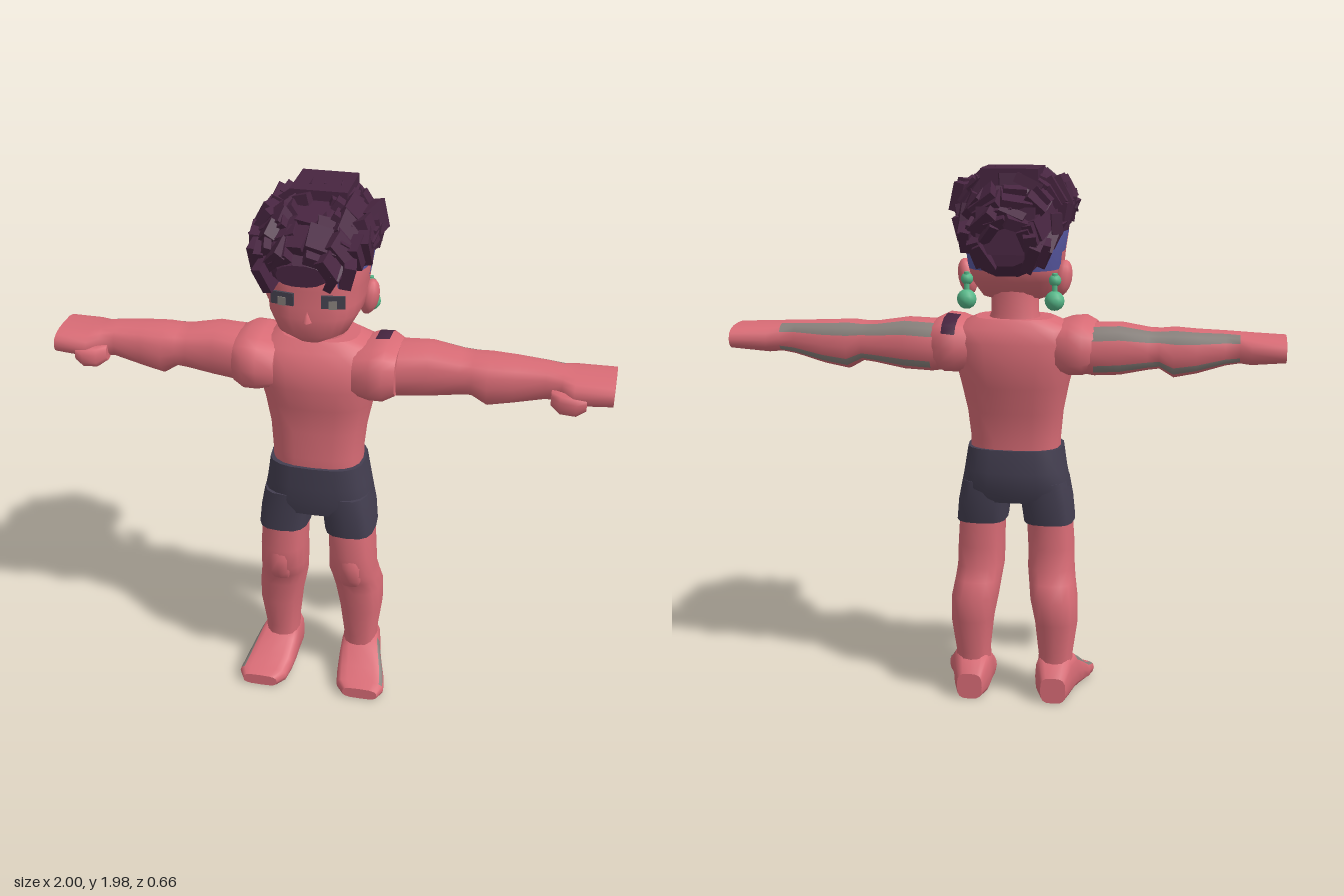
import * as THREE from 'three';

const mat = (name, color) => {
  const m = new THREE.MeshStandardMaterial({ color });
  m.name = name;
  return m;
};
const skin = mat('skin', 0xd96c76), cloth = mat('shorts', 0x433e50), hairMat = mat('hair', 0x472540);
const shaved = mat('shavedHair', 0x5757a0), jade = mat('jade', 0x58b98a), ink = mat('bodyPaint', 0x87807b);
const dark = mat('eyeDark', 0x45424f);

// Skin over rounded cross-sections. Rows are [t, a0, a1, b0, b1]; (a, b) is (y,z), (z,x) or (x,y)
// for axis x, y or z. pick(row, side) returns the material slot of a face.
function loft(axis, rows, n = 16, p = 2.5, pick = () => 0) {
  const pos = [], faces = [[], []];
  const put = (t, a, b) => {
    pos.push(...(axis === 'x' ? [t, a, b] : axis === 'y' ? [b, t, a] : [a, b, t]));
    return pos.length / 3 - 1;
  };
  const round = v => Math.sign(v) * Math.abs(v) ** (2 / p);
  const ring = ([t, a0, a1, b0, b1]) => Array.from({ length: n }, (_, j) => {
    const w = j / n * Math.PI * 2;
    return put(t, (a0 + a1) / 2 + (a1 - a0) / 2 * round(Math.cos(w)), (b0 + b1) / 2 + (b1 - b0) / 2 * round(Math.sin(w)));
  });
  const rings = rows.map(ring);
  for (let i = 0; i < rows.length - 1; i++) for (let j = 0; j < n; j++) {
    const k = (j + 1) % n, A = rings[i], B = rings[i + 1];
    faces[pick(i, j)].push(A[j], A[k], B[j], A[k], B[k], B[j]);
  }
  for (const [row, top] of [[rows[0], false], [rows.at(-1), true]]) {
    const r = ring(row), c = put(row[0], (row[1] + row[2]) / 2, (row[3] + row[4]) / 2);
    r.forEach((v, j) => faces[0].push(...(top ? [c, v, r[(j + 1) % n]] : [c, r[(j + 1) % n], v])));
  }
  const g = new THREE.BufferGeometry();
  g.setAttribute('position', new THREE.Float32BufferAttribute(pos, 3));
  g.setIndex(faces.flat());
  let start = 0;
  faces.forEach((f, i) => { if (f.length) g.addGroup(start, f.length, i); start += f.length; });
  g.computeVertexNormals();
  return g;
}

// Copy a lofted geometry to the other side of x = 0, keeping its faces outward
function mirrored(g) {
  const m = g.clone().scale(-1, 1, 1), ix = m.index.array;
  for (let i = 0; i < ix.length; i += 3) [ix[i], ix[i + 1]] = [ix[i + 1], ix[i]];
  m.computeVertexNormals();
  return m;
}

export function createModel() {
  const model = new THREE.Group(), body = new THREE.Group();
  body.name = 'figure';
  body.position.x = -0.04;
  model.add(body);
  const add = (name, geo, m, x = 0, y = 0, z = 0) => {
    const mesh = new THREE.Mesh(geo, m);
    mesh.name = name;
    mesh.position.set(x, y, z);
    body.add(mesh);
    return mesh;
  };
  const pair = (name, geo, m) => {
    add('left' + name, geo, m);
    add('right' + name, mirrored(geo), m);
  };

  // Torso and neck: [y, back, front, half width]
  const wide = ([y, back, front, h]) => [y, back, front, -h, h];
  add('torso', loft('y', [
    [0.93, -0.13, 0.105, 0.165], [1.0, -0.13, 0.11, 0.165], [1.1, -0.145, 0.1, 0.175], [1.2, -0.175, 0.11, 0.195],
    [1.28, -0.19, 0.125, 0.215], [1.36, -0.19, 0.115, 0.235], [1.41, -0.175, 0.08, 0.22], [1.445, -0.15, 0.05, 0.14],
  ].map(wide), 20, 2.7), [skin]);
  add('neck', loft('y', [[1.4, -0.15, 0.04, 0.11], [1.46, -0.13, 0.03, 0.085], [1.56, -0.13, 0.04, 0.085]].map(wide), 14, 2.3), [skin]);

  // Shorts
  add('shortsHips', loft('y', [
    [0.765, -0.125, 0.11, 0.2], [0.82, -0.145, 0.12, 0.2], [0.88, -0.15, 0.12, 0.188], [0.965, -0.14, 0.12, 0.175],
  ].map(wide), 20, 3), [cloth]);
  pair('ShortsLeg', loft('y', [
    [0.68, -0.115, 0.112, 0.032, 0.218], [0.76, -0.13, 0.115, 0.022, 0.21], [0.84, -0.13, 0.115, 0.01, 0.195],
  ], 16, 3), [cloth]);

  // Legs and feet
  pair('Leg', loft('y', [
    [0.06, -0.12, 0.03, 0.09, 0.225], [0.17, -0.12, 0.025, 0.092, 0.22], [0.3, -0.145, 0.05, 0.078, 0.238],
    [0.39, -0.152, 0.055, 0.06, 0.236], [0.45, -0.125, 0.075, 0.052, 0.226], [0.5, -0.105, 0.1, 0.045, 0.22],
    [0.58, -0.1, 0.105, 0.045, 0.218], [0.7, -0.105, 0.1, 0.04, 0.21],
  ], 16, 2.5), [skin]);
  pair('Kneecap', loft('y', [
    [0.44, 0.03, 0.075, 0.1, 0.17], [0.48, 0.04, 0.105, 0.095, 0.18], [0.54, 0.04, 0.112, 0.095, 0.18], [0.58, 0.04, 0.1, 0.1, 0.17],
  ], 10), [skin]);
  pair('Foot', loft('z', [
    [-0.152, 0.11, 0.205, 0, 0.1], [-0.1, 0.085, 0.225, 0, 0.17], [-0.02, 0.085, 0.24, 0, 0.165], [0.03, 0.085, 0.255, 0, 0.13],
    [0.09, 0.09, 0.275, 0, 0.08], [0.15, 0.1, 0.285, 0, 0.058], [0.185, 0.13, 0.265, 0, 0.045],
  ], 16, 3.2, (i, j) => (i > 1 && i < 5 && j === 1 ? 1 : 0)), [skin, ink]);

  // Arms with painted strips, shoulders and thumbs: [x, bottom, top, back, front]
  const armRows = [
    [0.15, 1.26, 1.42, -0.15, 0.08], [0.29, 1.24, 1.425, -0.16, 0.07], [0.38, 1.245, 1.43, -0.155, 0.055],
    [0.48, 1.265, 1.412, -0.14, 0.05], [0.52, 1.27, 1.41, -0.135, 0.05], [0.57, 1.238, 1.415, -0.135, 0.06],
    [0.65, 1.255, 1.41, -0.13, 0.05], [0.75, 1.285, 1.405, -0.11, 0.045], [0.8, 1.293, 1.4, -0.105, 0.06],
    [0.84, 1.29, 1.395, -0.13, 0.09], [0.96, 1.302, 1.39, -0.14, 0.09],
  ];
  const thumbRows = [[0.77, 1.29, 1.35, 0.02, 0.07], [0.8, 1.272, 1.35, 0.03, 0.1], [0.85, 1.272, 1.345, 0.04, 0.105], [0.88, 1.295, 1.34, 0.05, 0.095]];
  const shoulderRows = [
    [0.14, 1.25, 1.42, -0.16, 0.11], [0.2, 1.24, 1.44, -0.185, 0.135], [0.25, 1.24, 1.445, -0.18, 0.135], [0.29, 1.26, 1.425, -0.155, 0.11],
  ];
  for (const [side, reach] of [['left', 1.04], ['right', 0.96]]) {
    const place = g => (side === 'left' ? g : mirrored(g));
    const extend = rows => rows.map(([x, ...r]) => [x < 0.25 ? x : 0.25 + (x - 0.25) * (reach - 0.25) / 0.71, ...r]);
    const strip = (i, j) => (i < 8 && (j === 13 || j === 14 || (j === 10 && i > 0)) ? 1 : 0);
    add(side + 'Arm', place(loft('x', extend(armRows), 16, 2.6, strip)), [skin, ink]);
    add(side + 'Thumb', place(loft('x', extend(thumbRows), 10)), [skin]);
    const patch = (i, j) => (side === 'left' && i === 1 && j > 12 ? 1 : 0);
    add(side + 'Shoulder', place(loft('x', shoulderRows, 16, 2.8, patch)), [skin, hairMat]);
  }

  // Head, with shaved hair round the sides and back
  const headRows = [
    [1.48, 0.03, 0.13, 0.045], [1.515, -0.1, 0.162, 0.125], [1.58, -0.17, 0.168, 0.162], [1.62, -0.185, 0.162, 0.168],
    [1.68, -0.195, 0.16, 0.175], [1.74, -0.2, 0.157, 0.185], [1.8, -0.2, 0.14, 0.18], [1.87, -0.14, 0.1, 0.12],
  ].map(wide);
  add('head', loft('y', headRows, 24, 2.8, (i, j) => {
    const turn = Math.min(j, 23 - j);
    return (i === 3 && turn > 6) || (i === 4 && turn > 5) || (i > 4 && turn > 3) ? 1 : 0;
  }), [skin, shaved]);
  add('nose', new THREE.ConeGeometry(0.016, 0.04, 4), skin, 0, 1.59, 0.167);

  for (const s of [-1, 1]) {
    const side = s > 0 ? 'left' : 'right';
    // Eyes
    const eye = add(side + 'Eye', new THREE.BoxGeometry(0.082, 0.045, 0.009), dark, s * 0.088, 1.65, 0.158);
    const iris = add(side + 'Iris', new THREE.BoxGeometry(0.028, 0.03, 0.009), ink, s * 0.088, 1.641, 0.161);
    eye.rotation.y = iris.rotation.y = s * 0.16;
    // Temple streak
    add(side + 'TempleStreak', new THREE.BoxGeometry(0.04, 0.03, 0.009), shaved, s * 0.12, 1.715, 0.14).rotation.y = s * 0.45;
    // Ears
    const ear = add(side + 'Ear', new THREE.SphereGeometry(1, 12, 8), skin, s * 0.17, 1.585, -0.06);
    ear.scale.set(0.034, 0.066, 0.045);
    ear.rotation.z = -s * 0.2;
    // Earrings
    add(side + 'EarringStem', new THREE.CylinderGeometry(0.01, 0.01, 0.08, 8), jade, s * 0.155, 1.575, -0.165);
    add(side + 'EarringBead', new THREE.SphereGeometry(0.022, 10, 8), jade, s * 0.155, 1.59, -0.16);
    add(side + 'EarringDrop', new THREE.SphereGeometry(0.035, 12, 8), jade, s * 0.155, 1.52, -0.17);
  }

  // Hair core: [z, -x, +x, bottom, top]
  const hairRows = [
    [-0.285, -0.08, 0.08, 1.65, 1.82], [-0.25, -0.13, 0.13, 1.61, 1.88], [-0.18, -0.165, 0.165, 1.63, 1.95],
    [-0.1, -0.185, 0.185, 1.74, 1.95], [0, -0.195, 0.195, 1.765, 1.94], [0.1, -0.19, 0.19, 1.755, 1.92],
    [0.2, -0.15, 0.15, 1.74, 1.88], [0.27, -0.08, 0.08, 1.745, 1.82],
  ];
  const core = loft('z', hairRows, 14, 2.5).toNonIndexed();
  core.computeVertexNormals();
  add('hairCore', core, [hairMat]);

  // Chunky locks laid over the core
  let seed = 7;
  const rnd = (lo, hi) => lo + (hi - lo) * ((seed = (seed * 16807) % 2147483647) / 2147483647);
  const locks = new THREE.Group();
  locks.name = 'hairLocks';
  body.add(locks);
  for (let i = 0; i < 90; i++) {
    const f = (i % 15) / 15 * 6.9, k = Math.floor(f), t = f - k;
    const [z, x0, x1, y0, y1] = hairRows[k].map((v, q) => v + (hairRows[k + 1][q] - v) * t);
    const w = -0.5 + (Math.floor(i / 15) + rnd(0, 1)) / 6 * (Math.PI + 1);
    const lock = new THREE.Mesh(new THREE.BoxGeometry(rnd(0.07, 0.11), rnd(0.025, 0.045), rnd(0.07, 0.12)), hairMat);
    lock.name = 'hairLock';
    lock.position.set((x1 - x0) / 2 * Math.cos(w), (y0 + y1) / 2 + (y1 - y0) / 2 * Math.sin(w), z);
    lock.rotation.set(rnd(-0.15, 0.15) + (z > 0.1 ? 0.35 : z < -0.2 ? -0.5 : 0), rnd(-0.3, 0.3), w - Math.PI / 2);
    locks.add(lock);
  }
  // Raised block at the crown and slab at the back
  add('crownBlock', new THREE.BoxGeometry(0.2, 0.07, 0.2), hairMat, 0, 1.94, -0.11);
  add('backSlab', new THREE.BoxGeometry(0.2, 0.16, 0.08), hairMat, 0, 1.77, -0.265).rotation.x = 0.1;
  return model;
}
